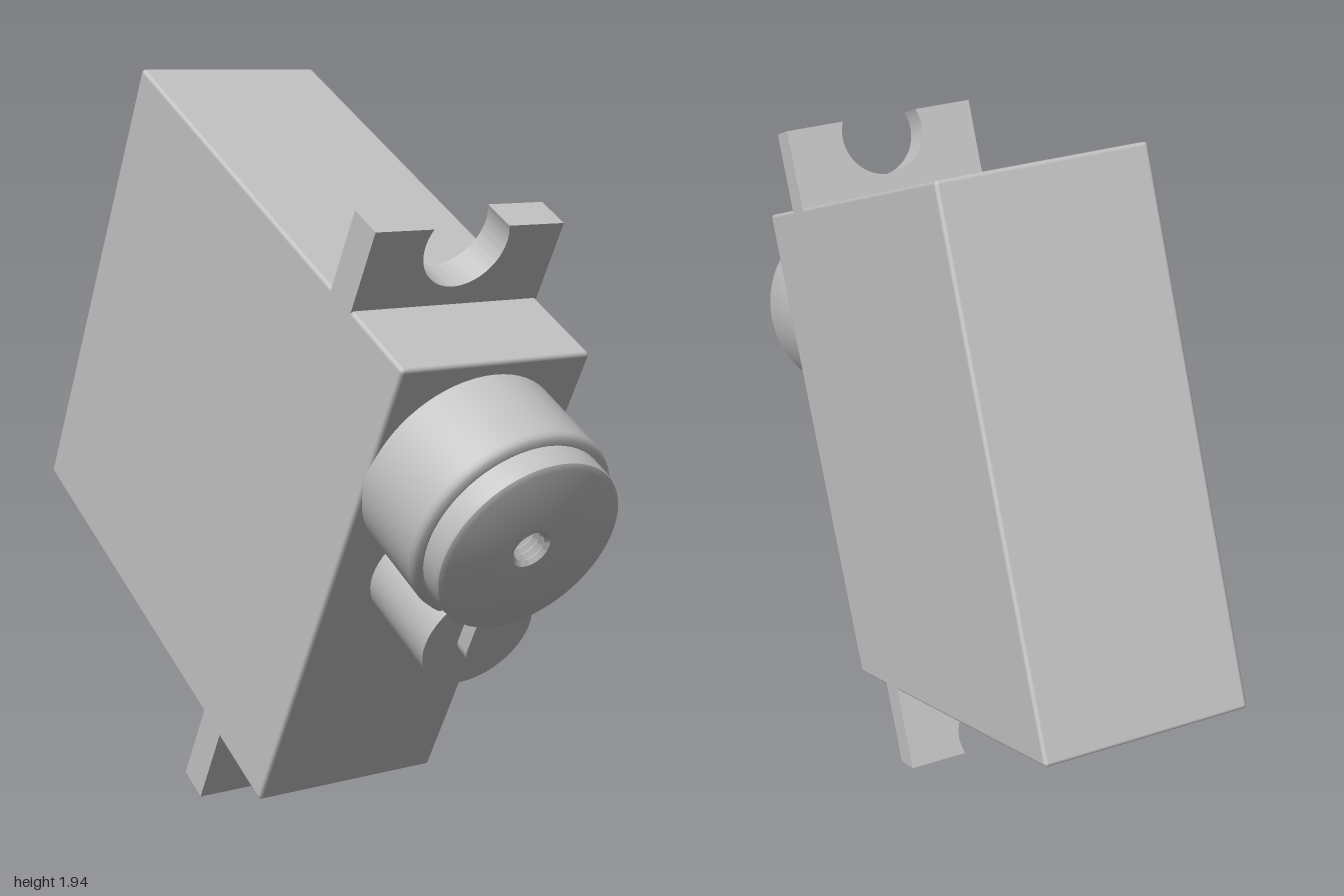
import * as THREE from 'three';
import { toCreasedNormals } from 'three/addons/utils/BufferGeometryUtils.js';
import { RoundedBoxGeometry } from 'three/addons/geometries/RoundedBoxGeometry.js';

export function createModel() {
  const grey = new THREE.MeshStandardMaterial({ color: 0xc2c2c2 });
  grey.name = 'grey plastic';

  const model = new THREE.Group();
  model.name = 'servoMotor';

  // Own axes of the servo: x = thickness, y = length, z = shaft direction
  const servo = new THREE.Group();
  servo.name = 'tiltedServo';
  const shaft = new THREE.Vector3(0.458, -0.4815, 0.747).normalize();
  const across = new THREE.Vector3(0.856, 0.0095, -0.517);
  const along = new THREE.Vector3().crossVectors(shaft, across).normalize();
  across.crossVectors(along, shaft);
  servo.quaternion.setFromRotationMatrix(new THREE.Matrix4().makeBasis(across, along, shaft));
  model.add(servo);

  const cx = 0.02, half = 0.265;          // centre and half thickness
  const bottom = 0.187, top = 1.54;       // body ends
  const back = -1.245, front = 0.15;      // body rear and shaft faces

  function add(name, geometry, x, y, z) {
    const mesh = new THREE.Mesh(geometry, grey);
    mesh.name = name;
    mesh.position.set(x, y, z);
    servo.add(mesh);
    return mesh;
  }

  // Turned part whose axis points along z
  function turned(profile, segments) {
    const g = new THREE.LatheGeometry(profile.map(p => new THREE.Vector2(p[0], p[1])), segments);
    return toCreasedNormals(g.rotateX(Math.PI / 2), 0.6);
  }

  // Case
  add('body', new RoundedBoxGeometry(half * 2, top - bottom, front - back, 2, 0.01),
    cx, (top + bottom) / 2, (front + back) / 2);

  // Mounting tab with a round notch open at its outer edge
  function tabGeometry(length) {
    const r = 0.115, c = length - 0.045;
    const a = Math.asin((length - c) / r);
    const s = new THREE.Shape();
    s.moveTo(-half, -0.02);
    s.lineTo(half, -0.02);
    s.lineTo(half, length);
    s.lineTo(r * Math.cos(a), length);
    s.absarc(0, c, r, a, -Math.PI - a, true);
    s.lineTo(-half, length);
    s.closePath();
    const g = new THREE.ExtrudeGeometry(s, { depth: 0.095, bevelEnabled: false, curveSegments: 32 });
    return toCreasedNormals(g, 0.6);
  }
  add('topTab', tabGeometry(0.21), cx, top, -0.18);
  const lowerTab = add('bottomTab', tabGeometry(0.225), cx, bottom, -0.085);
  lowerTab.rotation.x = Math.PI;

  // Gear tower: rounded shoulder, raised cap and a threaded screw hole
  const tower = [
    [0.265, -0.01], [0.265, 0.215], [0.262, 0.227], [0.254, 0.235], [0.24, 0.238],
    [0.24, 0.288], [0.237, 0.299], [0.225, 0.307], [0.05, 0.307],
  ];
  for (let i = 0; i < 6; i++) {
    tower.push([0.04, 0.297 - i * 0.02], [0.05, 0.287 - i * 0.02]);
  }
  tower.push([0, 0.187]);
  add('gearTower', turned(tower, 64), cx, 1.24, front);

  // Smaller gear housing below the tower
  const smallY = 0.93;
  add('smallHousing', turned([[0.15, -0.01], [0.15, 0.25], [0, 0.25]], 48), cx, smallY, front);

  // Raised round-ended key joining the housing to the cap
  const key = new THREE.Shape();
  key.moveTo(0.055, 0.12);
  key.lineTo(-0.055, 0.12);
  key.lineTo(-0.055, 0);
  key.absarc(0, 0, 0.055, Math.PI, Math.PI * 2, false);
  key.closePath();
  const keyGeometry = new THREE.ExtrudeGeometry(key, { depth: 0.06, bevelEnabled: false, curveSegments: 20 });
  add('housingKey', toCreasedNormals(keyGeometry, 0.6), cx, smallY, front + 0.23);

  return model;
}
